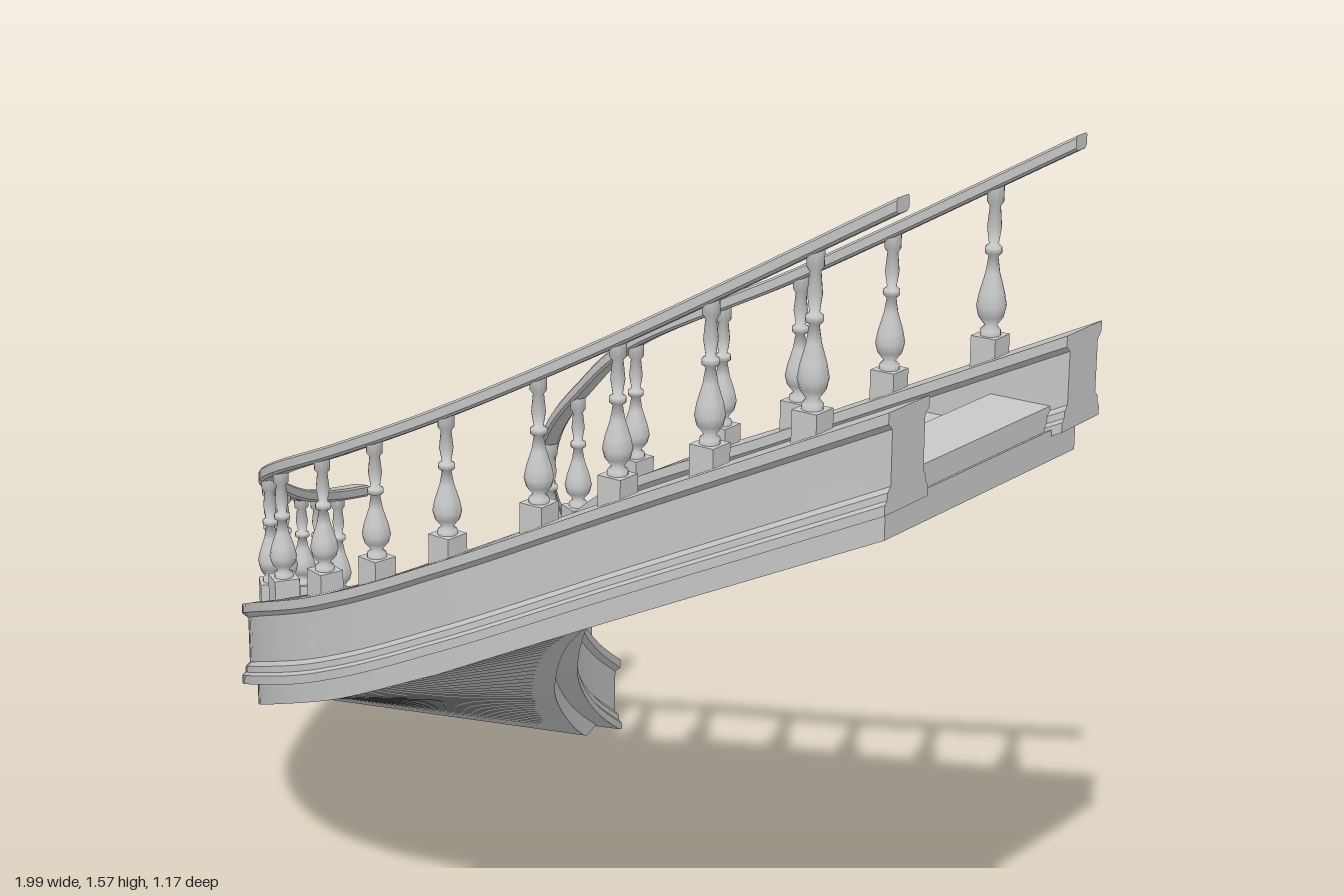
import * as THREE from 'three';
import { toCreasedNormals } from 'three/addons/utils/BufferGeometryUtils.js';

const stone = new THREE.MeshStandardMaterial({ color: 0xc8c8c8 });
stone.name = 'stone grey';

// Matching stations up the flight: outer x, z, inner x, z, stringer top, rail height
const stations = [
  [-0.94, -0.40, -0.45, -0.565, 0.155, 0.465],
  [-0.88, -0.24, -0.393, -0.41, 0.26, 0.51],
  [-0.775, -0.03, -0.335, -0.285, 0.36, 0.59],
  [-0.63, 0.20, -0.262, -0.175, 0.46, 0.71],
  [-0.40, 0.405, -0.165, -0.085, 0.587, 0.84],
  [-0.16, 0.49, -0.05, -0.025, 0.69, 0.95],
  [0.09, 0.52, 0.09, 0.01, 0.81, 1.07],
  [0.45, 0.52, 0.45, 0.015, 0.99, 1.26],
  [0.992, 0.515, 0.992, 0.005, 1.255, 1.57],
];
const curve = (xi, yi) => new THREE.CatmullRomCurve3(
  stations.map((s) => new THREE.Vector3(s[xi], s[yi], s[xi + 1])));
const outer = { name: 'outer', path: curve(0, 4), rail: curve(0, 5),
  xs: [-0.893, -0.84, -0.786, -0.717, -0.63, -0.52, -0.406, -0.24, -0.085, 0.09, 0.29, 0.45, 0.63, 0.82] };
const inner = { name: 'inner', path: curve(2, 4), rail: curve(2, 5),
  xs: [-0.413, -0.335, -0.20, -0.07, 0.096, 0.29, 0.45, 0.63, 0.82] };

// Parameter at which a rising coordinate of a curve reaches a value
function solve(c, axis, value) {
  let lo = 0, hi = 1;
  for (let i = 0; i < 30; i++) {
    const mid = (lo + hi) / 2;
    if (c.getPoint(mid)[axis] < value) lo = mid; else hi = mid;
  }
  return (lo + hi) / 2;
}

// Horizontal direction pointing to the outer side of a curve
function sideways(c, t) {
  const d = c.getTangent(t);
  return new THREE.Vector3(-d.z, 0, d.x).normalize();
}

// Closed sweep: place(t, u, v) positions each counter-clockwise profile point
function sweep(profile, place, t0 = 0, t1 = 1, floor = 0) {
  const n = profile.length, segments = 72, pos = [], index = [];
  for (let i = 0; i <= segments; i++) {
    const t = t0 + (t1 - t0) * i / segments;
    for (const [u, v] of profile) {
      const p = place(t, u, v);
      pos.push(p.x, Math.max(floor, p.y), p.z);
    }
  }
  for (let i = 0; i < segments; i++) {
    for (let j = 0; j < n; j++) {
      const a = i * n + j, b = i * n + (j + 1) % n;
      index.push(a, a + n, b, b, a + n, b + n);
    }
  }
  const end = segments * n;
  const flat = profile.map(([u, v]) => new THREE.Vector2(u, v));
  for (const [a, b, c] of THREE.ShapeUtils.triangulateShape(flat, [])) {
    index.push(a, b, c, end + a, end + c, end + b);
  }
  const g = new THREE.BufferGeometry();
  g.setAttribute('position', new THREE.Float32BufferAttribute(pos, 3));
  g.setIndex(index);
  return toCreasedNormals(g, 0.5);
}

const along = (c) => (t, u, v) => {
  const p = c.getPoint(t).addScaledVector(sideways(c, t), u);
  p.y += v;
  return p;
};

// Mirrors the right half of a profile, listed bottom to top
const symmetric = (half) => [...half, ...half.map(([u, v]) => [-u, v]).reverse()];

const stringerProfile = symmetric([
  [0.060, -0.160], [0.060, -0.143], [0.054, -0.137], [0.053, -0.125], [0.045, -0.117],
  [0.045, -0.028], [0.056, -0.018], [0.056, 0],
]);
const railProfile = symmetric([
  [0.012, -0.015], [0.017, -0.010], [0.017, 0.006], [0.014, 0.010],
]);

// Turned baluster, height 0 to 1
const balusterShape = [
  [0.017, 0], [0.017, 0.04], [0.010, 0.07], [0.021, 0.13], [0.025, 0.20], [0.021, 0.29],
  [0.012, 0.42], [0.008, 0.53], [0.014, 0.55], [0.014, 0.59], [0.008, 0.61],
  [0.012, 0.72], [0.009, 0.86], [0.014, 0.89], [0.014, 1],
].map(([r, y]) => new THREE.Vector2(r, y));
const balusterGeometry = toCreasedNormals(new THREE.LatheGeometry(balusterShape, 14), 0.7);
const blockGeometry = new THREE.BoxGeometry(0.046, 0.066, 0.046);

// Wedge-shaped step between two parameters, with its underside on the slab
function stepGeometry(t0, t1) {
  const g = new THREE.BoxGeometry(1, 1, 1);
  const p = g.attributes.position;
  const treadY = outer.path.getPoint(t1).y - 0.11;
  for (let i = 0; i < p.count; i++) {
    const c = p.getZ(i) > 0 ? outer.path : inner.path;
    const q = c.getPoint(p.getX(i) > 0 ? t1 : t0);
    p.setXYZ(i, q.x, p.getY(i) > 0 ? treadY : Math.max(0.025, q.y - 0.18), q.z);
  }
  g.computeVertexNormals();
  return g;
}

export function createModel() {
  const model = new THREE.Group();
  model.name = 'curvedStaircase';
  const add = (name, geometry, parent = model) => {
    const mesh = new THREE.Mesh(geometry, stone);
    mesh.name = name;
    parent.add(mesh);
    return mesh;
  };

  // Curved soffit slab hanging just below both stringers
  const soffitProfile = [[-0.03, -0.202], [1.06, -0.202], [1.06, -0.15], [-0.03, -0.15]];
  add('soffit', sweep(soffitProfile, (t, w, v) => {
    const p = inner.path.getPoint(t).lerp(outer.path.getPoint(t), w);
    p.y = THREE.MathUtils.lerp(inner.path.getPoint(t).y, outer.path.getPoint(t).y, 0.5) + v;
    return p;
  }, 0.004, 0.996, 0.018));

  // Steps of equal rise
  const steps = new THREE.Group();
  steps.name = 'steps';
  model.add(steps);
  const count = 16, low = stations[0][4], high = stations[8][4];
  const level = (k) => solve(outer.path, 'y', low + (high - low) * k / count);
  for (let k = 0; k < count; k++) {
    add('step', stepGeometry(k ? level(k) : 0.01, k < count - 1 ? level(k + 1) : 0.993), steps);
  }

  // Stringers, handrails and balusters on both sides
  for (const side of [outer, inner]) {
    add(side.name + 'Stringer', sweep(stringerProfile, along(side.path)));
    add(side.name + 'Handrail', sweep(railProfile, along(side.rail), 0.006, 0.995));
    const row = new THREE.Group();
    row.name = side.name + 'Balusters';
    model.add(row);
    for (const x of side.xs) {
      const t = solve(side.path, 'x', x);
      const foot = side.path.getPoint(t);
      const head = side.rail.getPoint(solve(side.rail, 'x', x)).y;
      const n = sideways(side.path, t);
      const block = add('balusterBlock', blockGeometry, row);
      block.position.set(foot.x, foot.y + 0.010, foot.z);
      block.rotation.y = Math.atan2(n.x, n.z);
      const post = add('baluster', balusterGeometry, row);
      post.position.set(foot.x, foot.y + 0.042, foot.z);
      post.scale.y = head - 0.006 - post.position.y;
    }
  }
  return model;
}
